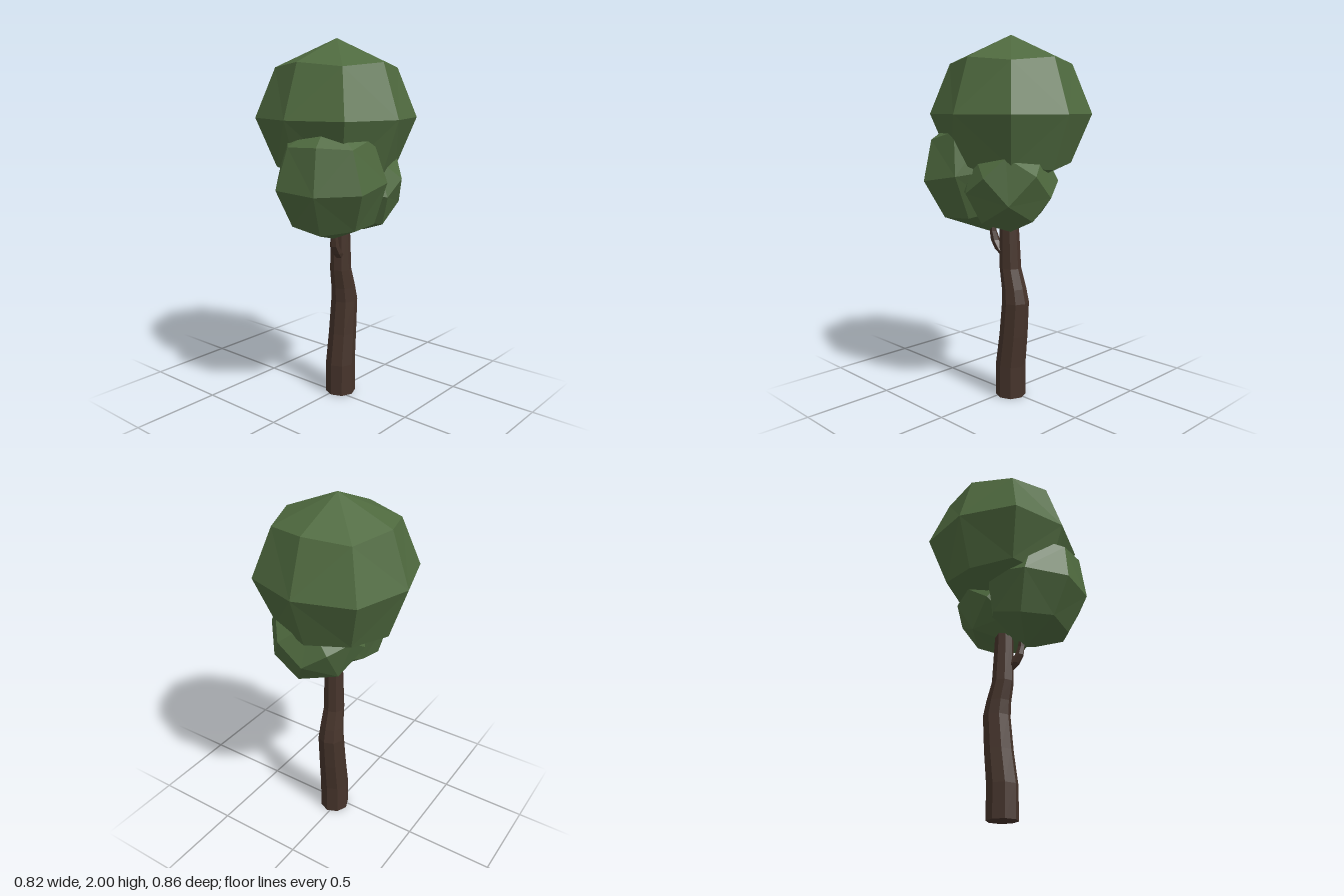
import * as THREE from 'three';

const bark = new THREE.MeshStandardMaterial({ color: 0x46342b, flatShading: true });
const leaf = new THREE.MeshStandardMaterial({ color: 0x4f6a3f, flatShading: true });

// Tapered, bent stem: each ring is [x, y, z, radius], bottom to top
function stem(name, rings, sides) {
  const rows = rings.length - 1;
  const geo = new THREE.CylinderGeometry(1, 1, rows, sides, rows);
  const p = geo.attributes.position;
  for (let i = 0; i < p.count; i++) {
    const [x, y, z, r] = rings[Math.round(p.getY(i) + rows / 2)];
    p.setXYZ(i, x + p.getX(i) * r, y, z + p.getZ(i) * r);
  }
  geo.computeVertexNormals();
  const mesh = new THREE.Mesh(geo, bark);
  mesh.name = name;
  return mesh;
}

// Faceted leaf ball: a 2x2x2 cube whose edges and corners are pulled in
function foliage(name, position, radius, height, rotation) {
  const geo = new THREE.BoxGeometry(2, 2, 2, 2, 2, 2);
  const p = geo.attributes.position;
  const side = [0, 1, 0.756, 0.565];
  const rise = [0, 1, 0.69, 0.635];
  const kind = [];
  for (let i = 0; i < p.count; i++) {
    const v = [p.getX(i), p.getY(i), p.getZ(i)].map(Math.round);
    const n = Math.abs(v[0]) + Math.abs(v[1]) + Math.abs(v[2]);
    kind.push(n);
    p.setXYZ(i, v[0] * side[n] * radius, v[1] * rise[n] * height, v[2] * side[n] * radius);
  }
  // Split every quad from face centre to cube corner
  const index = [];
  for (let i = 0; i < geo.index.count; i += 6) {
    const [a, b, d, , c] = geo.index.array.slice(i, i + 6);
    if (kind[b] === 2) index.push(a, b, c, a, c, d);
    else index.push(a, b, d, b, c, d);
  }
  geo.setIndex(index);
  geo.computeVertexNormals();
  const mesh = new THREE.Mesh(geo, leaf);
  mesh.name = name;
  mesh.position.set(...position);
  mesh.rotation.set(...rotation);
  return mesh;
}

export function createModel() {
  const tree = new THREE.Group();
  tree.name = 'tree';

  // Wood
  tree.add(stem('trunk', [
    [0.017, 0, -0.035, 0.085],
    [0.017, 0.18, -0.035, 0.084],
    [0.015, 0.36, -0.056, 0.079],
    [0.015, 0.55, -0.071, 0.075],
    [0.016, 0.63, -0.06, 0.068],
    [0.018, 0.74, -0.034, 0.06],
    [0.022, 1.0, -0.028, 0.052],
    [0.02, 1.25, -0.03, 0.045],
  ], 8));
  tree.add(stem('frontBranch', [
    [0.035, 0.81, -0.01, 0.026],
    [0.042, 0.845, 0.025, 0.03],
    [0.048, 0.89, 0.055, 0.026],
    [0.055, 0.94, 0.065, 0.02],
    [0.055, 1.06, 0.075, 0.018],
  ], 6));

  // Canopy
  tree.add(foliage('mainFoliage', [0, 1.585, -0.02], 0.41, 0.415, [0, 0, 0]));
  tree.add(foliage('frontFoliage', [0.095, 1.27, 0.135], 0.3, 0.335, [0.15, 0.4, -0.08, 'XZY']));
  tree.add(foliage('backFoliage', [0.085, 1.225, -0.085], 0.26, 0.26, [0.4, 2.36, 0.78, 'YXZ']));
  return tree;
}
